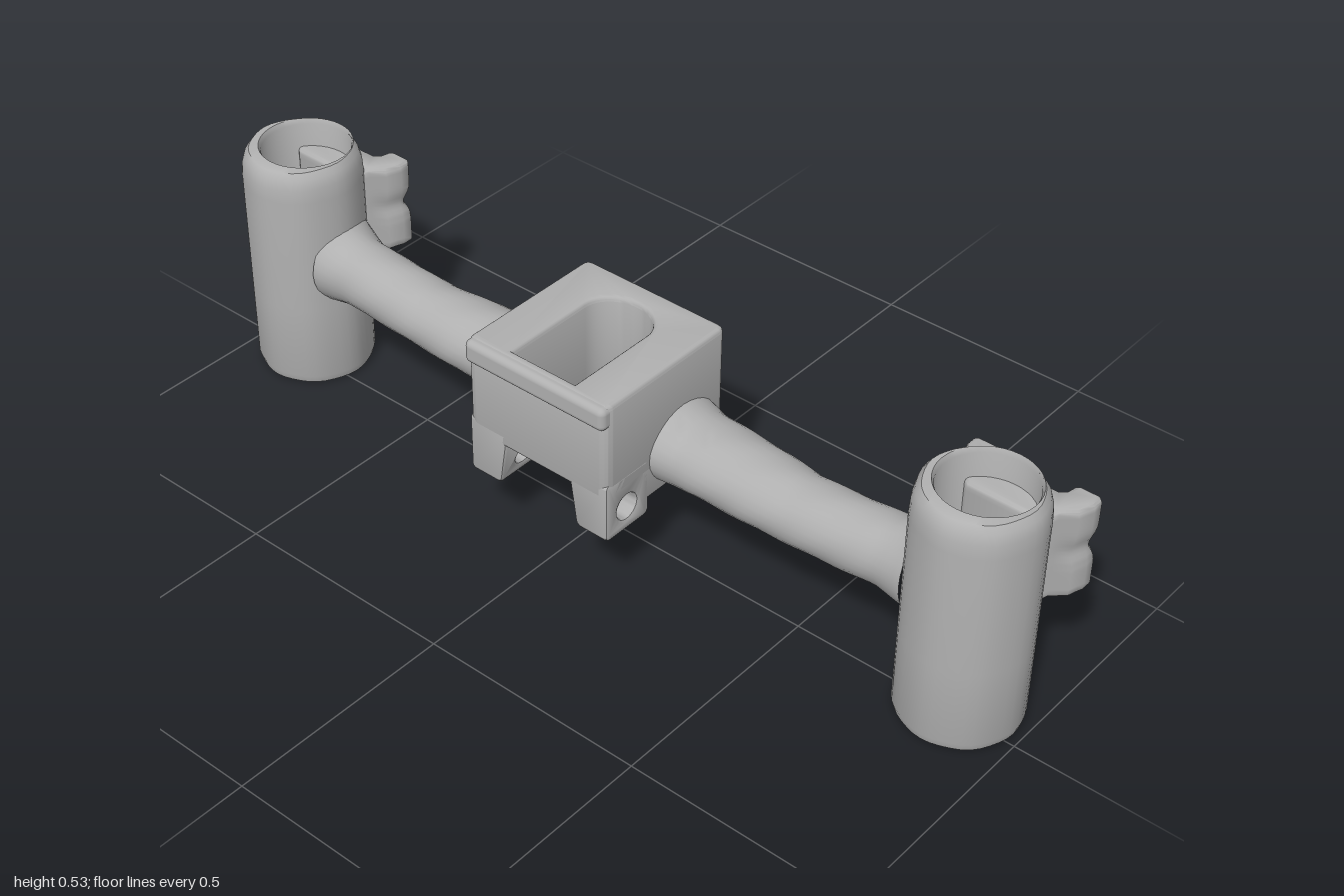
import * as THREE from 'three';
import { toCreasedNormals } from 'three/addons/utils/BufferGeometryUtils.js';
import { RoundedBoxGeometry } from 'three/addons/geometries/RoundedBoxGeometry.js';

const TUBE_X = 0.86, TUBE_Z = -0.023;

// Move every vertex of a geometry by a rule, then smooth its normals
function reshape(geo, rule, crease = 0.7) {
  const p = geo.attributes.position, v = new THREE.Vector3();
  for (let i = 0; i < p.count; i++) {
    rule(v.fromBufferAttribute(p, i));
    p.setXYZ(i, v.x, v.y, v.z);
  }
  return toCreasedNormals(geo, crease);
}

// Extrude a plan (x, -z) upwards from y0 to y1 with softened edges
function extrudeUp(shape, y0, y1, bevel, steps = 1) {
  const geo = new THREE.ExtrudeGeometry(shape, {
    depth: y1 - y0 - 2 * bevel, steps, curveSegments: 12,
    bevelThickness: bevel, bevelSize: bevel, bevelOffset: -bevel, bevelSegments: 3,
  });
  return geo.rotateX(-Math.PI / 2).translate(0, y0 + bevel, 0);
}

function roundedRect(x0, y0, x1, y1, r) {
  const s = new THREE.Shape();
  s.moveTo(x0 + r, y0);
  s.lineTo(x1 - r, y0).quadraticCurveTo(x1, y0, x1, y0 + r);
  s.lineTo(x1, y1 - r).quadraticCurveTo(x1, y1, x1 - r, y1);
  s.lineTo(x0 + r, y1).quadraticCurveTo(x0, y1, x0, y1 - r);
  s.lineTo(x0, y0 + r).quadraticCurveTo(x0, y0, x0 + r, y0);
  return s;
}

// Linear lookup in rows of [x, a, b, ...]
function sample(rows, x) {
  let i = 0;
  while (i < rows.length - 2 && x > rows[i + 1][0]) i++;
  const t = THREE.MathUtils.clamp((x - rows[i][0]) / (rows[i + 1][0] - rows[i][0]), 0, 1);
  return rows[i].map((a, k) => a + (rows[i + 1][k] - a) * t);
}

// Upright hollow sleeve, its bore set slightly back
function sleeveGeometry() {
  const profile = [
    [0.094, 0.02], [0.097, 0.008], [0.112, 0.004], [0.122, 0.008], [0.127, 0.025], [0.127, 0.2],
    [0.127, 0.47], [0.125, 0.5], [0.119, 0.522], [0.109, 0.535], [0.1, 0.536], [0.095, 0.525], [0.094, 0.02],
  ].map(([r, y]) => new THREE.Vector2(r, y));
  return reshape(new THREE.LatheGeometry(profile, 40), (v) => {
    const r = Math.hypot(v.x, v.z), a = Math.atan2(v.z, v.x);
    if (r < 0.105) v.z -= 0.014;
    else {
      const k = 1 + 0.008 * Math.cos(8 * a);
      v.x *= k;
      v.z *= k;
      if (v.y > 0.48) v.y += 0.003 * Math.cos(2 * a);
    }
  }, 0.8);
}

// Rear bracket with two ears, each dented halfway up
function bracketGeometry() {
  const half = [[0.07, 0.08], [0.095, 0.1], [0.1, 0.12], [0.127, 0.145], [0.133, 0.165], [0.138, 0.178],
    [0.138, 0.2], [0.13, 0.208], [0.088, 0.208], [0.08, 0.2], [0.076, 0.18], [0.066, 0.171]];
  const outline = [...half, ...half.map(([x, y]) => [-x, y]).reverse()];
  const shape = new THREE.Shape(outline.map(([x, y]) => new THREE.Vector2(x, y)));
  return reshape(extrudeUp(shape, 0.265, 0.47, 0.01, 20), (v) => {
    const dent = Math.exp(-(((v.y - 0.37) / 0.022) ** 2));
    if (v.z < -0.185) v.z += 0.013 * dent;
    if (Math.abs(v.x) > 0.12) v.x -= Math.sign(v.x) * 0.008 * dent;
  }, 0.8);
}

// Uneven arm: rows are x, centre y, half height, centre z, half depth
const ARM = [
  [0.14, 0.285, 0.088, -0.03, 0.105], [0.18, 0.285, 0.084, -0.03, 0.1], [0.22, 0.277, 0.074, -0.032, 0.093],
  [0.38, 0.276, 0.071, -0.024, 0.086], [0.48, 0.277, 0.068, -0.019, 0.077], [0.6, 0.285, 0.07, -0.019, 0.075],
  [0.69, 0.291, 0.073, -0.021, 0.073], [0.73, 0.293, 0.084, -0.025, 0.083], [0.757, 0.296, 0.095, -0.028, 0.09],
];
function armGeometry(side) {
  const geo = new THREE.CylinderGeometry(1, 1, 0.617, 28, 40, true).rotateZ(-Math.PI / 2);
  return reshape(geo.translate(side * 0.4485, 0, 0), (v) => {
    const [, cy, hy, cz, hz] = sample(ARM, Math.abs(v.x));
    const a = Math.atan2(v.z, v.y);
    const lump = 1 + 0.022 * Math.sin(31 * v.x + 2 * a) * Math.sin(17 * v.x + 3 * a);
    v.y = cy + v.y * hy * lump;
    v.z = cz + v.z * hz * lump;
  }, 1);
}

// Front lug with a cross pin hole; its inner face spreads towards the bottom
function lugGeometry(side) {
  const shape = roundedRect(-0.197, 0.16, -0.07, 0.3, 0.015);
  const pin = new THREE.Path();
  pin.absarc(-0.135, 0.215, 0.028, 0, Math.PI * 2, true);
  shape.holes.push(pin);
  const b = 0.008;
  const geo = new THREE.ExtrudeGeometry(shape, {
    depth: 0.098 - 2 * b, curveSegments: 14,
    bevelThickness: b, bevelSize: b, bevelOffset: -b, bevelSegments: 2,
  });
  geo.rotateY(Math.PI / 2).translate(side > 0 ? 0.08 + b : -0.178 + b, 0, 0);
  return reshape(geo, (v) => {
    if (Math.abs(v.x) < 0.12) {
      v.x += side * (v.y > 0.265 ? 0 : -0.012 + (0.265 - v.y) * 0.32);
    }
  }, 0.6);
}

export function createModel() {
  const model = new THREE.Group();
  const grey = new THREE.MeshStandardMaterial({ color: 0xb0b0b0 });
  grey.name = 'grey';
  const add = (name, geo, x = 0, y = 0, z = 0) => {
    const mesh = new THREE.Mesh(geo, grey);
    mesh.name = name;
    mesh.position.set(x, y, z);
    model.add(mesh);
  };

  // Central housing with an upright slot, rounded at the back
  const housing = roundedRect(-0.178, -0.197, 0.178, 0.156, 0.02);
  const slot = new THREE.Path();
  slot.moveTo(-0.078, -0.172);
  slot.lineTo(0.078, -0.172).lineTo(0.078, 0.035);
  slot.absellipse(0, 0.035, 0.078, 0.066, 0, Math.PI, false);
  slot.lineTo(-0.078, -0.172);
  housing.holes.push(slot);
  add('housing', toCreasedNormals(extrudeUp(housing, 0.26, 0.485, 0.01), 0.6));

  // Lower skirt, open to the front
  const skirt = new THREE.Shape();
  skirt.moveTo(0.178, -0.09);
  skirt.lineTo(0.178, 0.136).quadraticCurveTo(0.178, 0.156, 0.158, 0.156);
  skirt.lineTo(-0.158, 0.156).quadraticCurveTo(-0.178, 0.156, -0.178, 0.136);
  skirt.lineTo(-0.178, -0.09).lineTo(-0.078, -0.09).lineTo(-0.078, 0.035);
  skirt.absellipse(0, 0.035, 0.078, 0.066, Math.PI, 0, true);
  skirt.lineTo(0.078, -0.09);
  add('housingSkirt', toCreasedNormals(extrudeUp(skirt, 0.197, 0.3, 0.008), 0.6));

  // Lip along the top front edge
  add('frontLip', new RoundedBoxGeometry(0.354, 0.052, 0.036, 4, 0.014), 0, 0.458, 0.191);

  // Matching parts on both sides
  for (const side of [-1, 1]) {
    const label = side > 0 ? 'left' : 'right';
    add(label + 'Lug', lugGeometry(side));
    add(label + 'Arm', armGeometry(side));
    add(label + 'Sleeve', sleeveGeometry(), side * TUBE_X, 0, TUBE_Z);
    add(label + 'Bracket', bracketGeometry(), side * (TUBE_X + 0.002), 0, 0);
  }
  return model;
}
